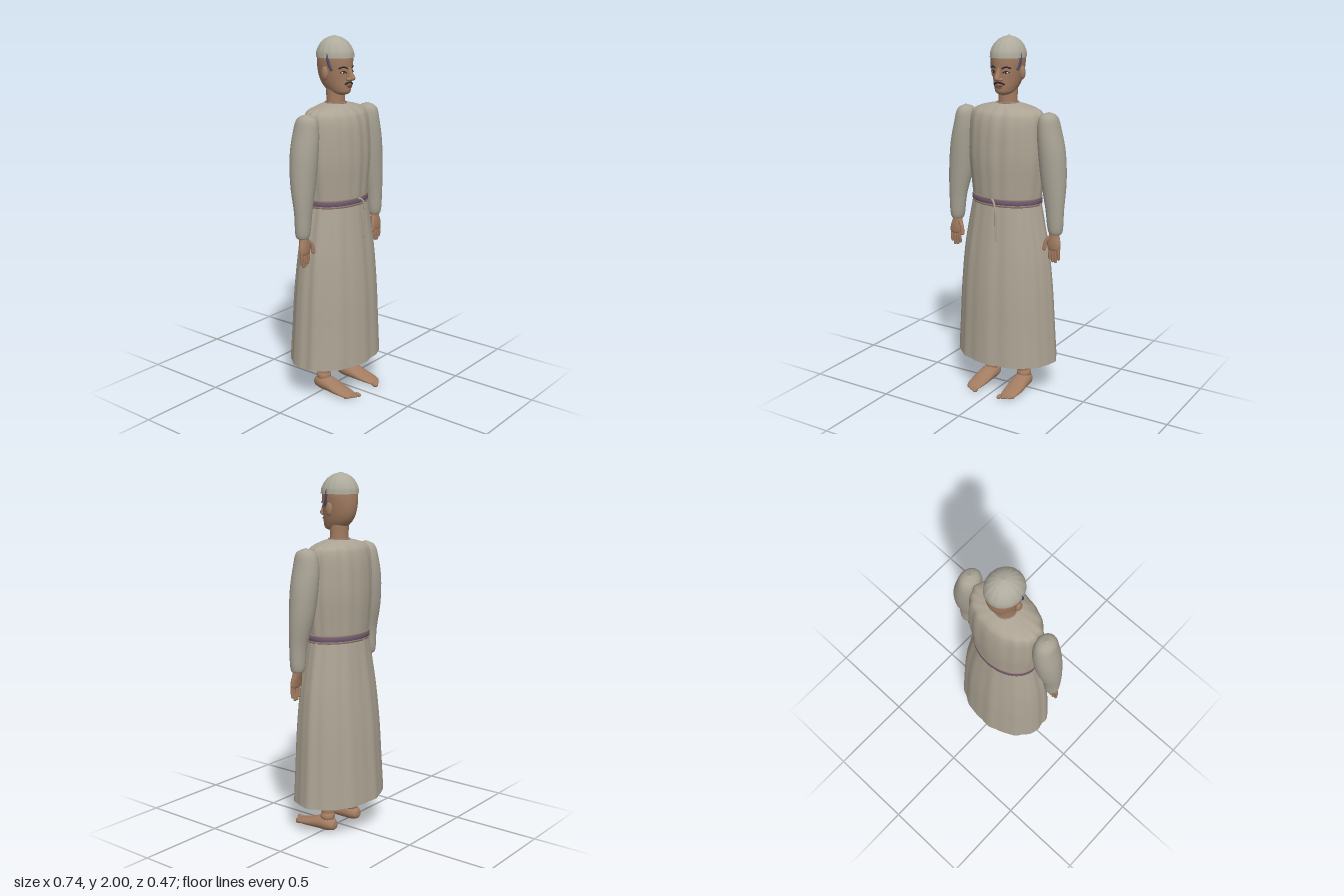
import * as THREE from 'three';

const mat = (name, color, double) => {
  const m = new THREE.MeshStandardMaterial({ color });
  m.name = name;
  if (double) m.side = THREE.DoubleSide;
  return m;
};

// Smooth skin through elliptical sections [y, cx, cz, rx, rz, foldDepth]
function loft(sections, seg = 32, fold = () => 0, smooth = 5) {
  const curve = (f) => new THREE.CatmullRomCurve3(sections.map(f), false, 'catmullrom', 0.5);
  const centre = curve((s) => new THREE.Vector3(s[1], s[0], s[2]));
  const radius = curve((s) => new THREE.Vector3(s[3], s[5] || 0, s[4]));
  const rows = (sections.length - 1) * smooth;
  const pos = [], index = [];
  for (let r = 0; r <= rows; r++) {
    const c = centre.getPoint(r / rows), q = radius.getPoint(r / rows);
    for (let i = 0; i < seg; i++) {
      const a = (i / seg) * Math.PI * 2, k = 1 + q.y * fold(a);
      pos.push(c.x + Math.max(q.x, 0.0005) * k * Math.cos(a), c.y,
        c.z + Math.max(q.z, 0.0005) * k * Math.sin(a));
      if (r < rows) {
        const p = r * seg + i, n = r * seg + ((i + 1) % seg);
        index.push(p, p + seg, n, n, p + seg, n + seg);
      }
    }
  }
  const g = new THREE.BufferGeometry();
  g.setAttribute('position', new THREE.Float32BufferAttribute(pos, 3));
  g.setIndex(index);
  g.computeVertexNormals();
  return g;
}

const tube = (pts, r) => new THREE.TubeGeometry(
  new THREE.CatmullRomCurve3(pts.map((p) => new THREE.Vector3(...p))), 16, r, 8);

const folds = (a) => Math.cos(11 * a + 0.6) + 0.6 * Math.cos(19 * a + 2) + 0.4 * Math.cos(7 * a);
const pleats = (a) => Math.cos(16 * a);

// Head sections: y, cx, cz, rx, rz
const HEAD = [
  [1.685, 0, 0.03, 0.004, 0.005], [1.70, 0, 0.02, 0.042, 0.055], [1.73, 0, 0.003, 0.06, 0.08],
  [1.77, 0, -0.01, 0.073, 0.093], [1.82, 0, -0.015, 0.083, 0.1], [1.88, 0, -0.015, 0.09, 0.101],
  [1.93, 0, -0.015, 0.082, 0.092], [1.97, 0, -0.015, 0.045, 0.05], [1.985, 0, -0.015, 0.002, 0.002],
];
function headAt(y) {
  const i = Math.max(1, HEAD.findIndex((s) => s[0] >= y));
  const t = (y - HEAD[i - 1][0]) / (HEAD[i][0] - HEAD[i - 1][0]);
  return HEAD[i].map((v, k) => THREE.MathUtils.lerp(HEAD[i - 1][k], v, t));
}
const onFace = (x, y, out = 0) => {
  const [, , cz, rx, rz] = headAt(y);
  return [x, y, cz + rz * Math.sqrt(Math.max(0, 1 - (x / rx) ** 2)) + out];
};
const onTemple = (s, y, z, out = 0) => {
  const [, , cz, rx, rz] = headAt(y);
  return [s * (rx * Math.sqrt(1 - ((z - cz) / rz) ** 2) + out), y, z];
};

export function createModel() {
  const root = new THREE.Group();
  root.name = 'robedFigure';
  const cloth = mat('robe cloth', 0xaca393, true);
  const sleeveCloth = mat('sleeve cloth', 0xa8a294);
  const capCloth = mat('cap cloth', 0xaeab9d, true);
  const skin = mat('skin', 0xa27c61);
  const purple = mat('belt purple', 0x6f5a73);
  const pink = mat('belt edge', 0x9c8279);
  const hair = mat('dark hair', 0x2e2629);
  const lock = mat('side lock', 0x574c68);
  const lip = mat('lips', 0x7d4c42);
  const white = mat('eye white', 0xcfc6ba);

  const add = (name, geo, material, parent = root) => {
    const m = new THREE.Mesh(geo, material);
    m.name = name;
    parent.add(m);
    return m;
  };
  const ball = (name, material, p, size, parent = root) => {
    const m = add(name, new THREE.SphereGeometry(1, 20, 14), material, parent);
    m.position.set(...p);
    m.scale.set(...size);
    return m;
  };

  // Skirt, open at the hem
  add('skirt', loft([
    [0.19, 0, -0.01, 0.3, 0.22, 0.012], [0.4, 0, -0.008, 0.287, 0.21, 0.012],
    [0.6, 0, -0.006, 0.275, 0.2, 0.012], [0.8, 0, -0.004, 0.256, 0.182, 0.012],
    [0.95, 0, -0.003, 0.231, 0.165, 0.012], [1.12, 0, -0.003, 0.199, 0.145, 0.01],
  ], 120, folds), cloth);
  // Bodice and pleated yoke
  add('bodice', loft([
    [1.12, 0, -0.003, 0.2, 0.145, 0.008], [1.2, 0, -0.003, 0.208, 0.15, 0.01],
    [1.35, 0, -0.003, 0.222, 0.157, 0.011], [1.5, 0, -0.004, 0.219, 0.15, 0.012],
    [1.58, 0, -0.006, 0.211, 0.134, 0.013], [1.612, 0, -0.01, 0.186, 0.112, 0.014],
    [1.632, 0, -0.01, 0.12, 0.085, 0.014], [1.645, 0, -0.01, 0.06, 0.055, 0.01],
  ], 120, (a) => 0.6 * folds(a) + pleats(a)), cloth);
  const collar = add('collarTrim', new THREE.TorusGeometry(0.058, 0.004, 8, 40), pink);
  collar.rotation.x = Math.PI / 2;
  collar.position.set(0, 1.645, -0.01);

  // Belt of three bands
  const band = (name, y0, y1, r, m) => add(name, loft([
    [y0, 0, -0.003, r - 0.008, r - 0.064], [y0, 0, -0.003, r, r - 0.056],
    [y1, 0, -0.003, r, r - 0.056], [y1, 0, -0.003, r - 0.008, r - 0.064],
  ], 64, undefined, 1), m);
  band('beltLowerEdge', 1.097, 1.109, 0.206, pink);
  band('beltBand', 1.109, 1.13, 0.207, purple);
  band('beltUpperEdge', 1.13, 1.143, 0.206, pink);
  add('beltCord', tube([[-0.005, 1.135, 0.148], [0.012, 1.13, 0.16], [0.027, 1.09, 0.168],
    [0.03, 1.0, 0.17], [0.03, 0.905, 0.17]], 0.006), cloth);

  // Neck, head and cap
  add('neck', loft([[1.6, 0, -0.01, 0.056, 0.052], [1.66, 0, -0.01, 0.053, 0.049],
    [1.75, 0, -0.012, 0.055, 0.052]]), skin);
  add('head', loft(HEAD, 48), skin);
  add('cap', loft([
    [1.887, 0, -0.014, 0.097, 0.107, 0.004], [1.92, 0, -0.015, 0.093, 0.102, 0.008],
    [1.958, 0, -0.017, 0.074, 0.08, 0.012], [1.985, 0, -0.019, 0.043, 0.046, 0.015],
    [2.0, 0, -0.02, 0.002, 0.002, 0],
  ], 96, pleats), capCloth);

  // Face
  add('noseBridge', loft([[1.765, 0, 0.085, 0.003, 0.004], [1.772, 0, 0.092, 0.017, 0.02],
    [1.785, 0, 0.095, 0.015, 0.025], [1.81, 0, 0.085, 0.01, 0.02], [1.84, 0, 0.08, 0.006, 0.006]], 20), skin);
  add('upperLip', tube([-0.022, 0, 0.022].map((x) => onFace(x, 1.742, 0.002)), 0.005), lip);
  add('lowerLip', tube([-0.017, 0, 0.017].map((x) => onFace(x, 1.734, 0.002)), 0.005), lip);
  add('moustache', tube([[-0.032, 1.748], [-0.016, 1.757], [0, 1.759], [0.016, 1.757], [0.032, 1.748]]
    .map(([x, y]) => onFace(x, y, 0.003)), 0.005), hair);

  for (const s of [1, -1]) {
    const tag = s > 0 ? 'left' : 'right';
    const group = new THREE.Group();
    group.name = tag + 'Side';
    root.add(group);
    const part = (name, geo, m) => add(tag + name, geo, m, group);
    const blob = (name, m, p, size) => ball(tag + name, m, p, size, group);

    // Eye, brow, nostril, ear, side lock
    blob('Eye', white, onFace(s * 0.038, 1.812, -0.003), [0.014, 0.006, 0.006]);
    blob('Iris', hair, onFace(s * 0.038, 1.812, 0.001), [0.006, 0.006, 0.004]);
    part('EyeLid', tube([[0.022, 1.81], [0.038, 1.819], [0.054, 1.811]]
      .map(([x, y]) => onFace(s * x, y, 0.001)), 0.003), hair);
    part('Brow', tube([[0.018, 1.833], [0.038, 1.842], [0.06, 1.834]]
      .map(([x, y]) => onFace(s * x, y, 0.001)), 0.004), hair);
    blob('Nostril', skin, [s * 0.015, 1.776, 0.088], [0.011, 0.009, 0.014]);
    blob('Ear', skin, [s * 0.09, 1.808, -0.012], [0.013, 0.036, 0.02]);
    part('SideLock', tube([[1.912, 0.004], [1.88, 0.008], [1.85, 0.014], [1.822, 0.027]]
      .map(([y, z]) => onTemple(s, y, z, 0.002)), 0.008), lock);

    // Sleeve
    part('Sleeve', loft([
      [0.966, s * 0.318, 0.02, 0.002, 0.002], [0.969, s * 0.318, 0.02, 0.038, 0.036],
      [1.1, s * 0.312, 0.02, 0.052, 0.046], [1.25, s * 0.297, 0.008, 0.07, 0.066],
      [1.4, s * 0.281, 0.003, 0.073, 0.077], [1.52, s * 0.264, 0.003, 0.063, 0.073],
      [1.59, s * 0.26, 0.006, 0.046, 0.055], [1.615, s * 0.262, 0.006, 0.003, 0.003],
    ], 36), sleeveCloth);

    // Hand
    part('Palm', loft([
      [0.868, s * 0.32, 0.036, 0.008, 0.004], [0.876, s * 0.32, 0.036, 0.035, 0.013],
      [0.91, s * 0.317, 0.033, 0.04, 0.018], [0.95, s * 0.315, 0.026, 0.031, 0.021],
      [0.99, s * 0.316, 0.02, 0.027, 0.022],
    ], 24), skin);
    [[0.293, 0.822], [0.311, 0.81], [0.329, 0.808], [0.347, 0.825]].forEach(([x, y], i) => {
      part('Finger' + (i + 1), tube([[s * x, 0.89, 0.036], [s * x, 0.85, 0.037],
        [s * x, y, 0.033]], 0.0085), skin);
      blob('FingerTip' + (i + 1), skin, [s * x, y, 0.033], [0.0085, 0.009, 0.0085]);
    });
    part('Thumb', tube([[s * 0.292, 0.945, 0.035], [s * 0.273, 0.915, 0.045],
      [s * 0.267, 0.878, 0.05]], 0.011), skin);
    blob('ThumbTip', skin, [s * 0.267, 0.878, 0.05], [0.011, 0.012, 0.011]);

    // Leg, ankle and bare foot
    part('Leg', loft([[0.07, s * 0.108, -0.012, 0.033, 0.034], [0.12, s * 0.107, -0.01, 0.034, 0.035],
      [0.19, s * 0.106, -0.01, 0.041, 0.039], [0.4, s * 0.105, -0.01, 0.054, 0.053],
      [1.0, s * 0.1, 0, 0.07, 0.07]], 28), skin);
    blob('Ankle', skin, [s * 0.108, 0.085, -0.012], [0.041, 0.035, 0.042]);
    part('Foot', loft([
      [-0.07, s * 0.108, -0.038, 0.002, 0.002], [-0.062, s * 0.108, -0.038, 0.028, 0.026],
      [-0.02, s * 0.109, -0.044, 0.047, 0.042], [0.04, s * 0.111, -0.04, 0.051, 0.038],
      [0.1, s * 0.114, -0.029, 0.052, 0.026], [0.16, s * 0.115, -0.02, 0.047, 0.016],
      [0.19, s * 0.113, -0.015, 0.036, 0.011], [0.198, s * 0.113, -0.014, 0.002, 0.002],
    ], 28).rotateX(Math.PI / 2), skin);
    [[0.08, 0.213, 0.012], [0.1, 0.203, 0.01], [0.116, 0.195, 0.01], [0.132, 0.187, 0.009],
      [0.146, 0.176, 0.009]].forEach(([x, z, r], i) =>
      blob('Toe' + (i + 1), skin, [s * x, r + 0.003, z], [r, r, r * 1.8]));
  }
  return root;
}
